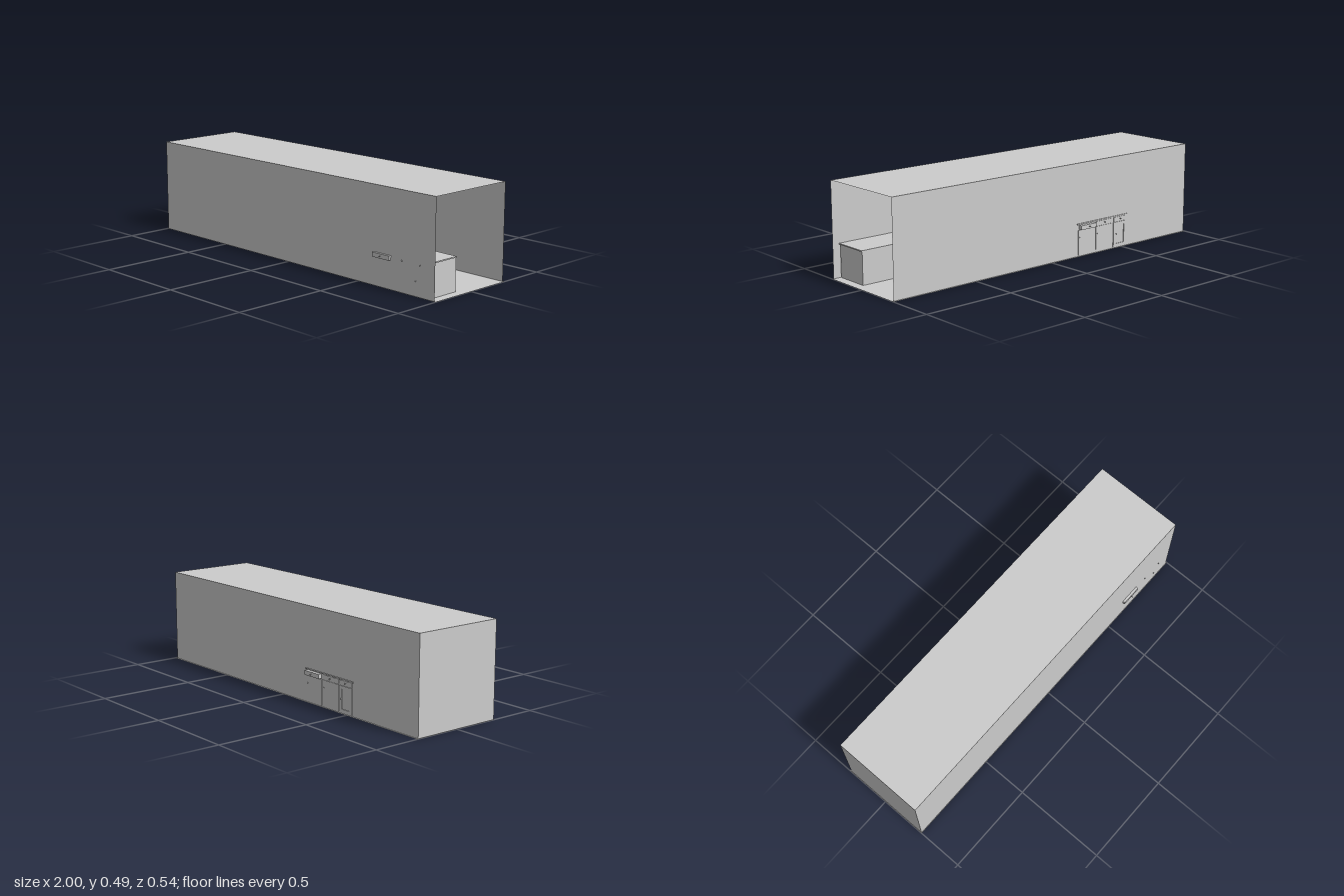
import * as THREE from 'three';

const grey = new THREE.MeshStandardMaterial({ color: 0xcccccc, side: THREE.DoubleSide });

function add(parent, name, geometry, x = 0, y = 0, z = 0) {
  const mesh = new THREE.Mesh(geometry, grey);
  mesh.name = name;
  mesh.position.set(x, y, z);
  parent.add(mesh);
  return mesh;
}

// Box given by its lower and upper limits on each axis
function block(parent, name, [x0, x1], [y0, y1], [z0, z1]) {
  return add(parent, name, new THREE.BoxGeometry(x1 - x0, y1 - y0, z1 - z0),
    (x0 + x1) / 2, (y0 + y1) / 2, (z0 + z1) / 2);
}

// Small turned knob pointing along +z, its base at z
function knob(parent, name, x, y, z, length) {
  const r = 0.0035;
  const profile = [[0, 0], [0.4, 0], [0.4, 0.45], [1, 0.6], [1, 0.85], [0.6, 1], [0, 1]]
    .map(([a, b]) => new THREE.Vector2(a * r, b * length));
  add(parent, name, new THREE.LatheGeometry(profile, 10), x, y, z).rotation.x = Math.PI / 2;
}

// Framed door with a recessed panel
function framedDoor(parent, x0, x1, y0, y1, z) {
  const shape = new THREE.Shape([[x0, y0], [x1, y0], [x1, y1], [x0, y1]].map(p => new THREE.Vector2(...p)));
  const b = 0.016;
  shape.holes.push(new THREE.Path([[x0 + b, y0 + b], [x0 + b, y1 - b], [x1 - b, y1 - b], [x1 - b, y0 + b]]
    .map(p => new THREE.Vector2(...p))));
  add(parent, 'doorFrame', new THREE.ExtrudeGeometry(shape, { depth: 0.004, bevelEnabled: false }), 0, 0, z);
}

// Sideboard of three bays; the first drawer is pulled out
function createSideboard() {
  const board = new THREE.Group();
  const face = 0.242;
  block(board, 'cabinetBody', [0.597, 0.953], [0.001, 0.168], [0.058, face]);
  block(board, 'countertop', [0.593, 0.957], [0.168, 0.174], [0.057, 0.247]);

  const bays = [[0.6, 0.72], [0.726, 0.85], [0.856, 0.95]];
  bays.forEach(([x0, x1], i) => {
    const mid = (x0 + x1) / 2;
    const out = i === 0 ? 0.262 : 0.245;
    const inset = i === 0 ? 0.005 : 0.002;
    block(board, 'drawer', [x0 + inset, x1 - inset], [0.143, 0.166], [face - 0.01, out]);
    knob(board, 'drawerKnob', mid, 0.155, out, 0.01);
    if (i < 2) {
      block(board, 'door', [x0 + 0.001, x1 - 0.001], [0.006, 0.139], [face - 0.004, 0.245]);
      knob(board, 'doorKnob', i === 0 ? x0 + 0.01 : x0 + 0.012, 0.1, 0.243, 0.005);
    } else {
      framedDoor(board, x0, x1, 0.006, 0.139, face);
      knob(board, 'doorKnob', 0.874, 0.075, 0.243, 0.01);
    }
  });
  return board;
}

export function createModel() {
  const model = new THREE.Group();

  // Floor sheet, slightly wider than the walls
  const floor = add(model, 'floor', new THREE.PlaneGeometry(2, 0.504));
  floor.rotation.x = Math.PI / 2;

  // Thin shell: three walls and a roof, open at the +x end
  const [x0, x1, z0, z1, h] = [-0.997, 0.993, -0.243, 0.249, 0.493];
  const cx = (x0 + x1) / 2, cz = (z0 + z1) / 2;
  add(model, 'frontWall', new THREE.PlaneGeometry(x1 - x0, h), cx, h / 2, z1);
  add(model, 'backWall', new THREE.PlaneGeometry(x1 - x0, h), cx, h / 2, z0).rotation.y = Math.PI;
  add(model, 'endWall', new THREE.PlaneGeometry(z1 - z0, h), x0, h / 2, cz).rotation.y = -Math.PI / 2;
  add(model, 'roof', new THREE.PlaneGeometry(x1 - x0, z1 - z0), cx, h, cz).rotation.x = -Math.PI / 2;

  // Two sideboards set against the long walls, turned half round to each other
  const front = createSideboard();
  front.name = 'frontSideboard';
  const back = createSideboard();
  back.name = 'backSideboard';
  back.rotation.y = Math.PI;
  back.position.set(0.415, 0, -0.001);
  model.add(front, back);
  return model;
}
